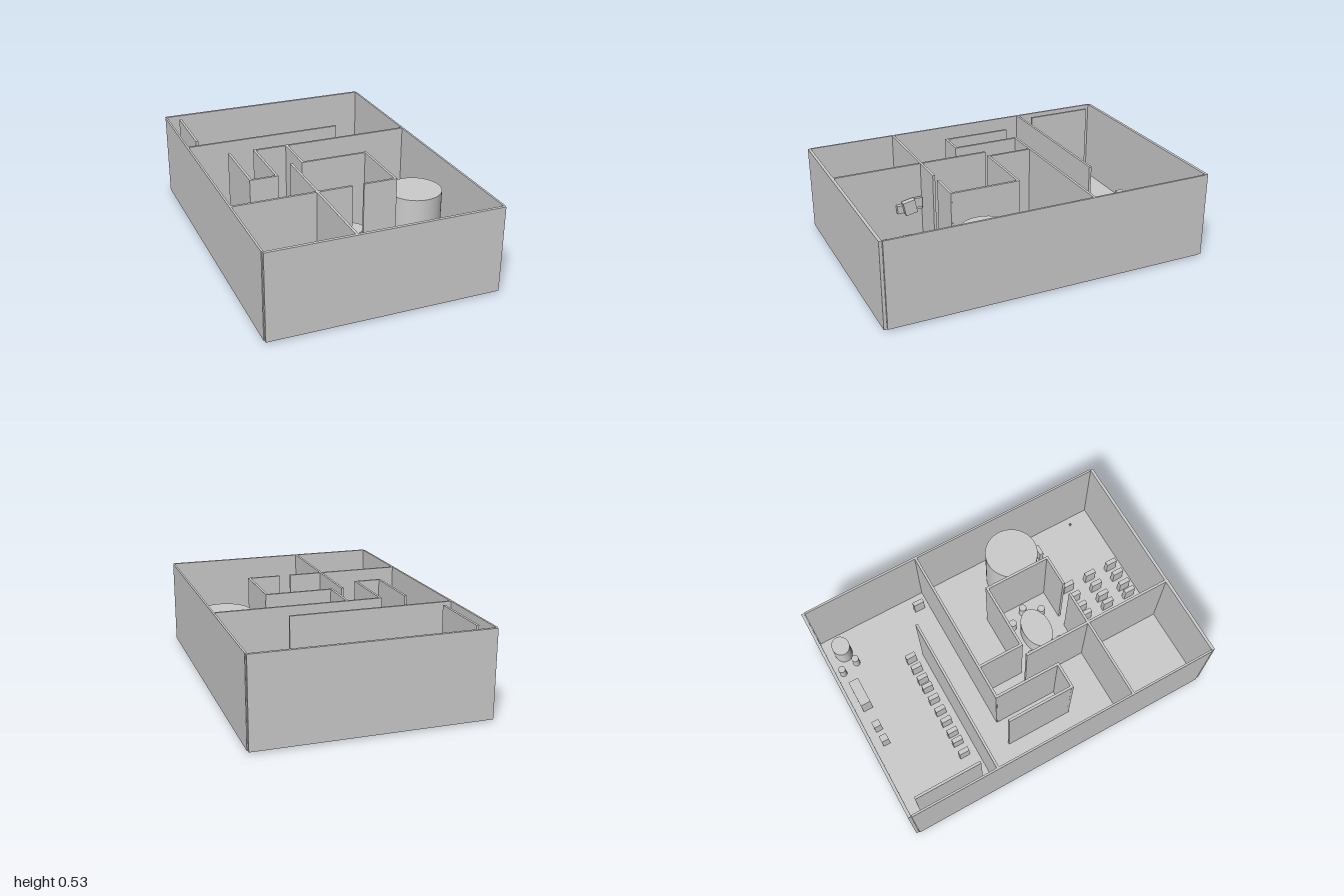
import * as THREE from 'three';

const FLOOR = 0.02, TOP = 0.53, T = 0.015;

export function createModel() {
  const model = new THREE.Group();
  const material = new THREE.MeshStandardMaterial({ color: 0xcccccc });

  const add = (name, geometry, x, y, z) => {
    const mesh = new THREE.Mesh(geometry, material);
    mesh.name = name;
    mesh.position.set(x, y, z);
    model.add(mesh);
    return mesh;
  };
  // Box given by its plan extents and its height range
  const box = (name, x0, x1, z0, z1, y0, y1) =>
    add(name, new THREE.BoxGeometry(x1 - x0, y1 - y0, z1 - z0), (x0 + x1) / 2, (y0 + y1) / 2, (z0 + z1) / 2);
  // Box given by its plan centre and size, standing on the floor
  const block = (name, x, z, w, d, h) =>
    box(name, x - w / 2, x + w / 2, z - d / 2, z + d / 2, FLOOR - 0.005, FLOOR + h);
  // Round or elliptical drum
  const drum = (name, x, z, rx, rz, y0, y1) =>
    add(name, new THREE.CylinderGeometry(1, 1, y1 - y0, 48), x, (y0 + y1) / 2, z).scale.set(rx, 1, rz);

  // Floor and outer shell
  box('floor', -0.685, 0.685, -0.985, 0.985, 0.01, FLOOR);
  for (const s of [-1, 1]) {
    const side = box('sideWall', -0.006, 0.006, -0.98, 0.98, 0.01, TOP);
    side.position.x = s * 0.684;
    const end = box('endWall', -0.685, 0.685, -0.009, 0.009, 0.01, TOP);
    end.position.z = s * 0.991;
  }

  // Partitions along x: [z, x start, x end]
  const alongX = [
    [-0.437, -0.68, 0.3], [-0.245, -0.323, 0.68], [0.162, -0.483, -0.31],
    [0.035, -0.117, 0.305], [0.447, -0.68, 0.03], [0.447, 0.1, 0.305],
  ];
  for (const [z, x0, x1] of alongX) box('partition', x0, x1, z - T / 2, z + T / 2, FLOOR, TOP);

  // Partitions along z: [x, z start, z end]
  const alongZ = [
    [-0.605, -0.92, -0.505], [-0.475, -0.253, 0.162], [-0.317, -0.245, 0.162],
    [-0.11, -0.245, 0.035], [0.298, 0.035, 0.447], [-0.18, 0.03, 0.447], [-0.18, 0.447, 0.982],
  ];
  for (const [x, z0, z1] of alongZ) box('partition', x - T / 2, x + T / 2, z0, z1, FLOOR, TOP);

  // Meeting table, whose base reaches under the floor, with six stools
  drum('meetingTable', 0.06, 0.25, 0.132, 0.089, 0, 0.15);
  for (const [x, z] of [[-0.1, 0.25], [0.235, 0.25], [-0.06, 0.145], [0.175, 0.145], [-0.06, 0.352], [0.175, 0.352]])
    drum('stool', x, z, 0.023, 0.023, FLOOR, 0.1);

  // Large round tank with benches in front
  drum('tank', 0.495, 0.312, 0.163, 0.163, FLOOR, 0.37);
  for (const [x, z] of [[0.363, 0.49], [0.427, 0.543], [0.535, 0.543], [0.615, 0.485]])
    block('bench', x, z, 0.068, 0.026, 0.09);

  // Three rows of seats in the classroom
  for (const z of [0.585, 0.745, 0.905])
    for (const x of [-0.077, 0.007, 0.07, 0.15, 0.23]) block('classSeat', x, z, 0.028, 0.07, 0.1);

  // Row of seats along the rear partition, and a single one
  for (const x of [-0.405, -0.323, -0.258, -0.178, -0.1, -0.015, 0.07, 0.135, 0.215, 0.292])
    block('rowSeat', x, -0.525, 0.028, 0.065, 0.1);
  block('singleSeat', 0.588, -0.317, 0.027, 0.068, 0.1);

  // Reception: desk, two chairs, oval table and two stools
  block('desk', 0.225, -0.908, 0.172, 0.064, 0.13);
  for (const x of [-0.097, 0.004]) block('deskChair', x, -0.908, 0.042, 0.046, 0.1);
  drum('ovalTable', 0.552, -0.878, 0.063, 0.055, FLOOR, 0.15);
  for (const [x, z] of [[0.428, -0.938], [0.452, -0.835]]) drum('stool', x, z, 0.022, 0.022, FLOOR, 0.1);
  block('floorKnob', 0.628, 0.84, 0.01, 0.01, 0.02);

  // Small fixture mounted beside the classroom wall
  box('fixtureArm', -0.172, -0.146, 0.46, 0.54, 0.25, 0.31);
  box('fixtureArm', -0.172, -0.146, 0.545, 0.618, 0.24, 0.29);
  box('fixtureBody', -0.148, -0.112, 0.51, 0.585, 0.24, 0.325).rotation.x = 0.2;
  box('fixtureNeck', -0.148, -0.128, 0.465, 0.515, 0.27, 0.33);

  return model;
}
